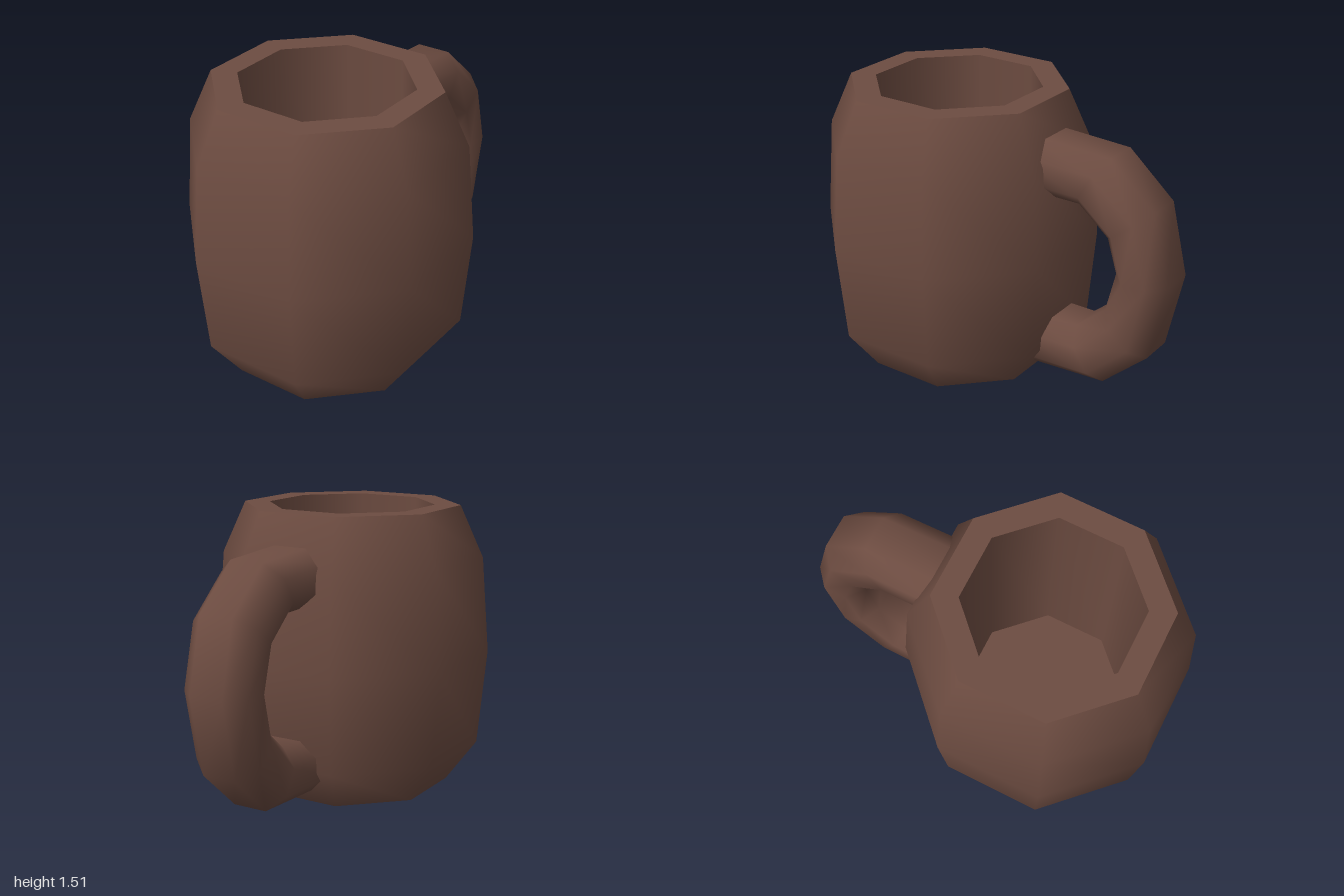
import * as THREE from 'three';

const brown = new THREE.MeshStandardMaterial({ color: 0x6d4c41 });
brown.name = 'brown';

const SIDES = 8;
const BODY_X = -0.3125;

// Eight-sided ring surface from [apothem, height] points, flats facing the axes
function octagonSurface(name, profile) {
  const k = 1 / Math.cos(Math.PI / SIDES);
  const points = profile.map(([r, y]) => new THREE.Vector2(r * k, y));
  const geometry = new THREE.LatheGeometry(points, SIDES);
  geometry.rotateY(Math.PI / SIDES);
  const mesh = new THREE.Mesh(geometry, brown);
  mesh.name = name;
  return mesh;
}

// Smooth skin through pairs of outer and inner points of the handle's side outline
function handleGeometry(stations) {
  // Cross-section: [share of half thickness, z], from the outer side towards +z
  const section = [
    [1, 0.093], [0.45, 0.185], [-0.45, 0.185], [-1, 0.093],
    [-1, -0.093], [-0.45, -0.185], [0.45, -0.185], [1, -0.093],
  ];
  const n = section.length;
  const positions = [];
  const indices = [];
  stations.forEach(([ox, oy, ix, iy], i) => {
    for (const [s, z] of section) {
      const t = (1 + s) / 2;
      positions.push(ix + (ox - ix) * t, iy + (oy - iy) * t, z);
    }
    if (i === stations.length - 1) return;
    for (let k = 0; k < n; k++) {
      const a = i * n + k;
      const b = i * n + ((k + 1) % n);
      indices.push(a, b, b + n, a, b + n, a + n);
    }
  });
  const geometry = new THREE.BufferGeometry();
  geometry.setAttribute('position', new THREE.Float32BufferAttribute(positions, 3));
  geometry.setIndex(indices);
  geometry.computeVertexNormals();
  return geometry;
}

export function createModel() {
  const model = new THREE.Group();
  model.name = 'mug';

  // Barrel-shaped cup, split where the edges are sharp
  const cup = new THREE.Group();
  cup.name = 'cup';
  cup.position.x = BODY_X;
  cup.add(
    octagonSurface('base', [[0, 0], [0.495, 0]]),
    octagonSurface('outerWall', [[0.495, 0], [0.645, 0.22], [0.6875, 0.735], [0.65, 1.24], [0.535, 1.515]]),
    octagonSurface('rim', [[0.535, 1.515], [0.41, 1.515]]),
    octagonSurface('innerWall', [[0.41, 1.515], [0.41, 0.2]]),
    octagonSurface('floor', [[0.41, 0.2], [0, 0.2]]),
  );
  model.add(cup);

  // Handle on the left side, its ends buried in the wall
  const handle = new THREE.Mesh(handleGeometry([
    [0.17, 1.365, 0.17, 1.065],
    [0.66, 1.34, 0.49, 1.065],
    [0.91, 1.12, 0.66, 0.925],
    [1.0, 0.745, 0.715, 0.745],
    [0.91, 0.33, 0.66, 0.525],
    [0.66, 0.105, 0.49, 0.38],
    [0.17, 0.08, 0.17, 0.38],
  ]), brown);
  handle.name = 'handle';
  model.add(handle);

  return model;
}
